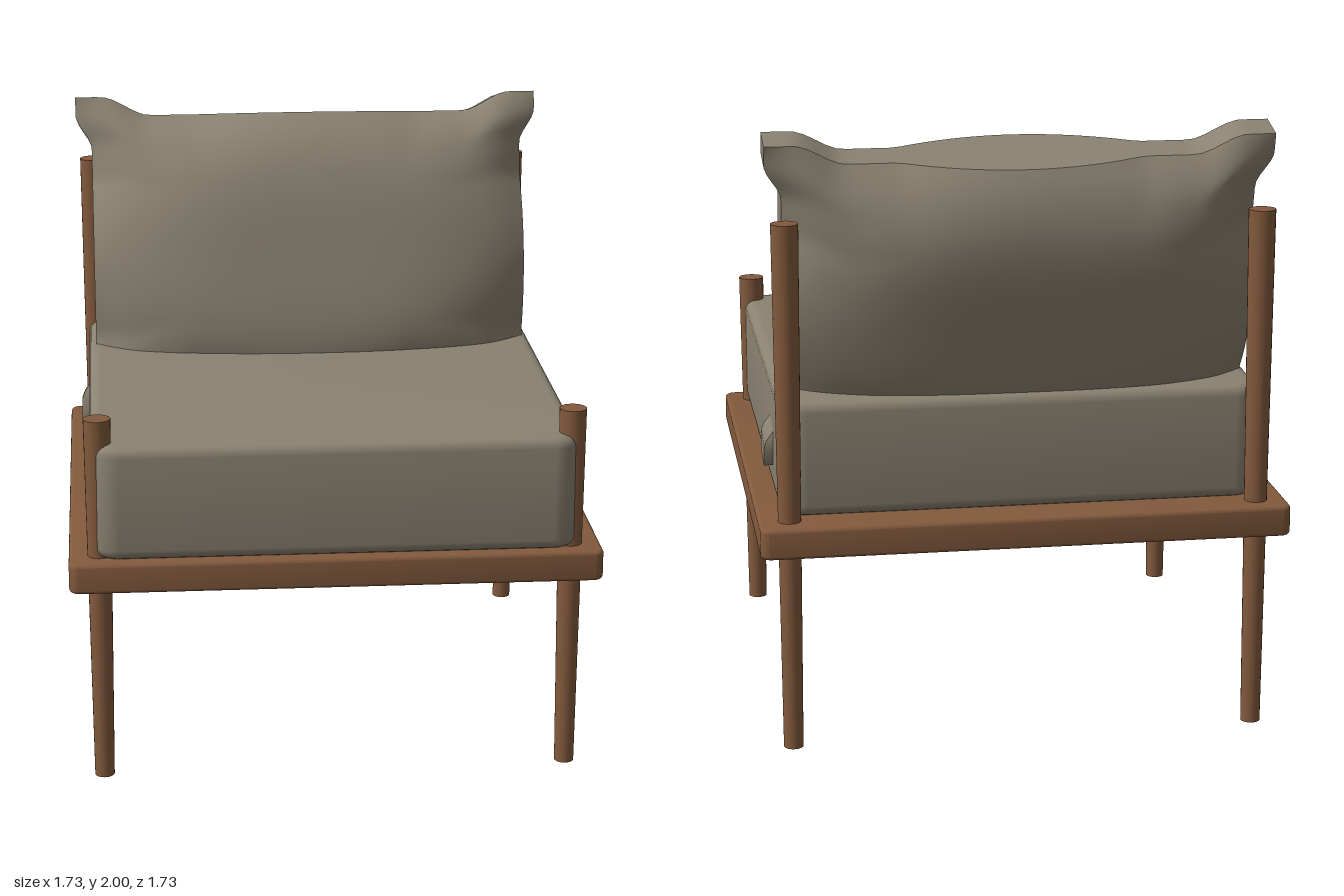
import * as THREE from 'three';
import { toCreasedNormals } from 'three/addons/utils/BufferGeometryUtils.js';

const wood = new THREE.MeshStandardMaterial({ color: 0x835a3d });
wood.name = 'wood';
const fabric = new THREE.MeshStandardMaterial({ color: 0x8a8271 });
fabric.name = 'fabric';

function addMesh(parent, name, geometry, material, x, y, z) {
  const mesh = new THREE.Mesh(geometry, material);
  mesh.name = name;
  mesh.position.set(x, y, z);
  parent.add(mesh);
  return mesh;
}

// Upright slab, base at y = 0, with rounded vertical corners and softened rims
function softSlab(width, height, depth, cornerRadius, rim) {
  const w = width / 2 - rim, d = depth / 2 - rim, r = cornerRadius - rim;
  const shape = new THREE.Shape();
  shape.absarc(w - r, d - r, r, 0, Math.PI / 2);
  shape.absarc(-w + r, d - r, r, Math.PI / 2, Math.PI);
  shape.absarc(-w + r, -d + r, r, Math.PI, Math.PI * 1.5);
  shape.absarc(w - r, -d + r, r, Math.PI * 1.5, Math.PI * 2);
  shape.closePath();
  const geometry = new THREE.ExtrudeGeometry(shape, {
    depth: height - 2 * rim, bevelThickness: rim, bevelSize: rim, bevelSegments: 5, curveSegments: 8,
  });
  geometry.translate(0, 0, rim);
  geometry.rotateX(-Math.PI / 2);
  return toCreasedNormals(geometry, 0.6);
}

// Plump pillow: a subdivided box with eared corners and lens-shaped side bands
function pillowGeometry() {
  const ear = (v) => THREE.MathUtils.smoothstep(Math.abs(v), 0.68, 0.89);
  const lens = (v) => 0.08 * Math.max(0, 1 - (v / 0.48) ** 2);
  const geometry = new THREE.BoxGeometry(2, 2, 2, 48, 48, 1);
  const p = geometry.attributes.position;
  for (let i = 0; i < p.count; i++) {
    const s = p.getX(i), t = p.getY(i);
    const s4 = s ** 4, t4 = t ** 4;
    const half = 0.06 + lens(s) * t4 + lens(t) * s4 + 0.205 * (1 - s4) * (1 - t4);
    p.setXYZ(i, s * (0.765 + 0.055 * ear(t)), t * (0.505 + 0.066 * ear(s)), p.getZ(i) * half);
  }
  geometry.computeVertexNormals();
  return geometry;
}

export function createModel() {
  const chair = new THREE.Group();
  chair.name = 'loungeChair';

  // Wooden platform
  addMesh(chair, 'platform', softSlab(1.73, 0.1, 1.73, 0.035, 0.012), wood, 0, 0.67, 0);

  // Tapered posts running through the platform corners
  for (const side of [1, -1]) {
    for (const [end, z, height] of [['front', 0.765, 1.23], ['back', -0.765, 1.74]]) {
      const post = new THREE.CylinderGeometry(0.044, 0.032, height, 24);
      addMesh(chair, `${end}${side > 0 ? 'Left' : 'Right'}Post`, post, wood, side * 0.765, height / 2, z);
    }
  }

  // Seat cushion
  addMesh(chair, 'seatCushion', softSlab(1.58, 0.38, 1.58, 0.09, 0.035), fabric, 0, 0.77, 0.05);

  // Back pillow, leaning backwards with its lower edge sunk into the seat
  const pillow = addMesh(chair, 'backPillow', pillowGeometry(), fabric, 0, 1.43, -0.51);
  pillow.rotation.x = -0.237;

  return chair;
}
